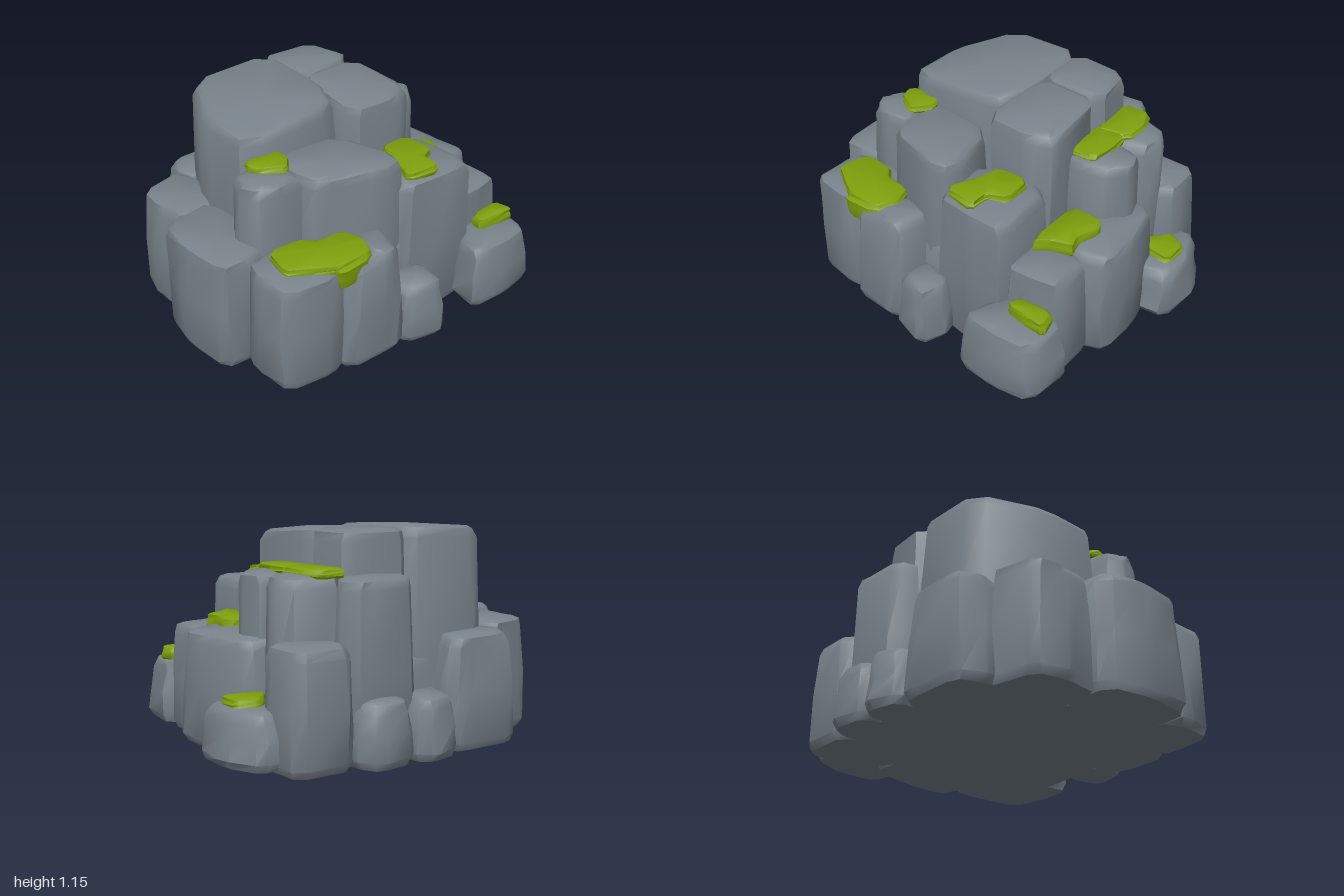
import * as THREE from 'three';
import { toCreasedNormals } from 'three/addons/utils/BufferGeometryUtils.js';

// Seeded random in -1..1
function seeded(seed) {
  let s = seed * 7919 + 13;
  return () => {
    s = (s * 16807) % 2147483647;
    return (s / 2147483647) * 2 - 1;
  };
}

// Chamfer each corner of a footprint and order it counter-clockwise seen from above
function softenOutline(points, cut) {
  let area = 0;
  points.forEach(([x, z], i) => {
    const [nx, nz] = points[(i + 1) % points.length];
    area += x * nz - nx * z;
  });
  const p = area > 0 ? [...points].reverse() : points;
  const out = [];
  p.forEach(([x, z], i) => {
    const [ax, az] = p[(i + p.length - 1) % p.length];
    const [bx, bz] = p[(i + 1) % p.length];
    out.push([x + (ax - x) * cut, z + (az - z) * cut]);
    out.push([x + (bx - x) * cut, z + (bz - z) * cut]);
  });
  return out;
}

// Weathered block lofted from a footprint: bevelled rim, tapered sides, tilted top
function blockGeometry(points, y0, y1, { taper = 0.05, tiltX = 0, tiltZ = 0, bevel = 0.06, rough = 0.01, seed = 1 } = {}) {
  const rnd = seeded(seed);
  const outline = softenOutline(points, 0.17);
  const n = outline.length;
  const cx = outline.reduce((s, p) => s + p[0], 0) / n;
  const cz = outline.reduce((s, p) => s + p[1], 0) / n;
  const h = y1 - y0;
  const b = Math.min(bevel, h * 0.4);
  // [height, inset]
  const rings = [
    [0, b * 0.4], [b * 0.7, 0], [h * 0.5, taper * 0.35],
    [h - b, taper * 0.85], [h - b * 0.25, taper + b * 0.2], [h, taper + b * 0.75],
  ];
  const pos = [], index = [];
  rings.forEach(([y, inset], r) => {
    for (const [px, pz] of outline) {
      const d = Math.hypot(px - cx, pz - cz);
      const k = 1 - inset / d;
      const wobble = r === 0 ? 0 : rough;
      const x = cx + (px - cx) * k + rnd() * wobble;
      const z = cz + (pz - cz) * k + rnd() * wobble;
      const tilt = (y / h) ** 2 * ((x - cx) * tiltX + (z - cz) * tiltZ);
      pos.push(x, y0 + y + tilt, z);
    }
  });
  for (let r = 0; r < rings.length - 1; r++) {
    for (let j = 0; j < n; j++) {
      const k = (j + 1) % n;
      const a = r * n + j, c = r * n + k;
      index.push(a, c, c + n, a, c + n, a + n);
    }
  }
  // Caps
  const low = pos.length / 3, high = low + 1, last = (rings.length - 1) * n;
  pos.push(cx, y0, cz, cx, y1 + Math.min(0.008, h * 0.1), cz);
  for (let j = 0; j < n; j++) {
    const k = (j + 1) % n;
    index.push(k, j, low, last + j, last + k, high);
  }
  const g = new THREE.BufferGeometry();
  g.setAttribute('position', new THREE.Float32BufferAttribute(pos, 3));
  g.setIndex(index);
  return toCreasedNormals(g, 0.75);
}

export function createModel() {
  const model = new THREE.Group();
  const stone = new THREE.MeshStandardMaterial({ color: 0x78828a });
  stone.name = 'grey stone';
  const moss = new THREE.MeshStandardMaterial({ color: 0x7f9f0c });
  moss.name = 'green moss';

  let seed = 1;
  const add = (name, material, points, y0, y1, options = {}) => {
    const mesh = new THREE.Mesh(blockGeometry(points, y0, y1, { seed: seed++, ...options }), material);
    mesh.name = name;
    model.add(mesh);
  };
  const rock = (name, points, top, options) => add(name, stone, points, options?.base ?? 0.01, top, options);
  const patch = (name, points, y0, y1, options) =>
    add(name, moss, points, y0, y1, { taper: 0.006, rough: 0.005, bevel: 0.025, ...options });

  // Solid core that closes the underside
  rock('core', [[-0.6, 0.6], [0.5, 0.7], [0.62, 0.1], [0.5, -0.6], [-0.55, -0.65], [-0.7, 0]], 0.5);

  // Summit blocks
  rock('summitFront', [[-0.69, 0.44], [-0.63, -0.1], [-0.1, -0.12], [0.13, 0], [0.11, 0.64], [-0.28, 0.66]], 1.13,
    { taper: 0.06, tiltX: -0.04, tiltZ: -0.06 });
  rock('summitBackRight', [[-0.62, 0], [-0.58, -0.4], [-0.24, -0.44], [-0.22, 0]], 1.14, { taper: 0.03 });
  rock('summitBackLeft', [[-0.28, -0.02], [-0.27, -0.41], [0.17, -0.44], [0.24, -0.3], [0.2, 0.02]], 1.12,
    { taper: 0.02, tiltX: -0.08 });

  // Middle tier
  rock('shoulderLeft', [[0.02, 0.45], [0.08, 0], [0.54, -0.08], [0.57, 0.1], [0.44, 0.47], [0.2, 0.5]], 0.96,
    { taper: 0.04 });
  rock('shoulderFront', [[0, 0.42], [0.02, 0.7], [0.14, 0.78], [0.28, 0.75], [0.36, 0.6], [0.32, 0.4]], 0.955, { taper: 0.04 });
  rock('shoulderBackLeft', [[0.18, 0], [0.18, -0.46], [0.64, -0.47], [0.66, -0.25], [0.6, 0.04]], 0.83,
    { taper: 0.03 });
  rock('shoulderRight', [[-0.72, -0.06], [-0.74, -0.42], [-0.6, -0.5], [-0.4, -0.4], [-0.45, 0]], 0.92, { taper: 0.03 });
  rock('backPillarRight', [[-0.6, -0.4], [-0.53, -0.66], [-0.4, -0.73], [-0.25, -0.68], [-0.2, -0.38]], 0.93,
    { taper: 0.02 });
  rock('backPillarLeft', [[-0.28, -0.38], [-0.25, -0.68], [-0.1, -0.74], [0.02, -0.65], [0.07, -0.5], [0.02, -0.36]], 0.925,
    { taper: 0.02 });

  // Front foot blocks
  rock('frontCentre', [[-0.27, 0.6], [-0.26, 0.93], [0, 1], [0.3, 0.97], [0.33, 0.78], [0.28, 0.58]], 0.635, { taper: 0.02 });
  rock('frontRight', [[-0.66, 0.5], [-0.62, 0.82], [-0.42, 0.87], [-0.2, 0.84], [-0.2, 0.45]], 0.62, { taper: 0.03 });
  rock('frontLeft', [[0.26, 0.45], [0.27, 0.81], [0.42, 0.87], [0.64, 0.86], [0.7, 0.57], [0.62, 0.4]], 0.615, { taper: 0.02 });

  // Side foot blocks
  rock('leftSide', [[0.45, 0.55], [0.45, 0.08], [0.72, 0.12], [0.76, 0.24], [0.72, 0.52]], 0.625, { taper: 0.05 });
  rock('leftLow', [[0.55, 0.15], [0.56, -0.1], [0.68, -0.13], [0.84, -0.06], [0.77, 0.17]], 0.35, { taper: 0.03 });
  rock('rightSide', [[-0.83, 0.52], [-0.81, 0.14], [-0.72, 0.08], [-0.5, 0.1], [-0.5, 0.55], [-0.66, 0.59]], 0.6,
    { taper: 0.05 });
  rock('rightLow', [[-0.83, 0.12], [-0.87, -0.08], [-0.8, -0.16], [-0.55, -0.16], [-0.55, 0.15]], 0.33, { taper: 0.03 });
  rock('rightLowBack', [[-0.82, -0.16], [-0.84, -0.4], [-0.72, -0.47], [-0.55, -0.45], [-0.55, -0.12]], 0.34, { taper: 0.03 });

  // Back foot blocks
  rock('backRight', [[-0.74, -0.45], [-0.72, -0.8], [-0.45, -0.82], [-0.35, -0.7], [-0.4, -0.42]], 0.62, { taper: 0.03 });
  rock('backCentre', [[-0.28, -0.5], [-0.28, -0.78], [0.05, -0.86], [0.29, -0.85], [0.34, -0.7], [0.3, -0.45]], 0.61,
    { taper: 0.03, tiltZ: 0.08 });
  rock('backLeft', [[0.27, -0.4], [0.28, -0.76], [0.57, -0.77], [0.62, -0.6], [0.6, -0.4]], 0.59, { taper: 0.03 });
  rock('looseBlockLeft', [[0.48, -0.45], [0.52, -0.81], [0.83, -0.78], [0.87, -0.55], [0.83, -0.3], [0.64, -0.33]], 0.375,
    { base: 0.03, taper: 0.04 });
  rock('looseBlockBack', [[-0.58, -0.72], [-0.58, -0.9], [-0.38, -1], [-0.1, -0.98], [-0.08, -0.75], [-0.2, -0.65]], 0.31,
    { base: 0.03, taper: 0.04 });

  // Moss cushions
  patch('mossFrontLeft', [[0.34, 0.72], [0.35, 0.54], [0.42, 0.48], [0.45, 0.32], [0.58, 0.28], [0.69, 0.34], [0.68, 0.53],
    [0.6, 0.66], [0.52, 0.77]], 0.595, 0.655);
  patch('mossDrip', [[0.62, 0.36], [0.69, 0.36], [0.695, 0.55], [0.62, 0.55]], 0.52, 0.63, { taper: -0.01 });
  patch('mossShoulderFront', [[0.04, 0.6], [0.06, 0.42], [0.14, 0.4], [0.24, 0.48], [0.16, 0.61], [0.09, 0.63]], 0.945, 0.99);
  patch('mossShoulderLeft', [[0.24, -0.14], [0.25, -0.33], [0.44, -0.34], [0.48, -0.24], [0.6, -0.23], [0.56, -0.03], [0.4, -0.1]],
    0.815, 0.87);
  patch('mossBackPillarRight', [[-0.56, -0.38], [-0.55, -0.54], [-0.42, -0.59], [-0.27, -0.58], [-0.24, -0.38]], 0.915, 0.96);
  patch('mossBackPillarLeft', [[-0.3, -0.38], [-0.28, -0.56], [-0.14, -0.57], [0.01, -0.54], [-0.01, -0.38]], 0.91, 0.955);
  patch('mossBackCentre', [[0.05, -0.46], [0.06, -0.64], [0.12, -0.69], [0.28, -0.64], [0.34, -0.66], [0.37, -0.55],
    [0.43, -0.46]], 0.58, 0.66);
  patch('mossLooseLeft', [[0.59, -0.52], [0.58, -0.73], [0.7, -0.75], [0.7, -0.65], [0.67, -0.5]], 0.36, 0.44);
  patch('mossLooseBack', [[-0.43, -0.81], [-0.37, -0.92], [-0.21, -0.91], [-0.22, -0.78], [-0.28, -0.68], [-0.36, -0.74]],
    0.295, 0.35);

  return model;
}
